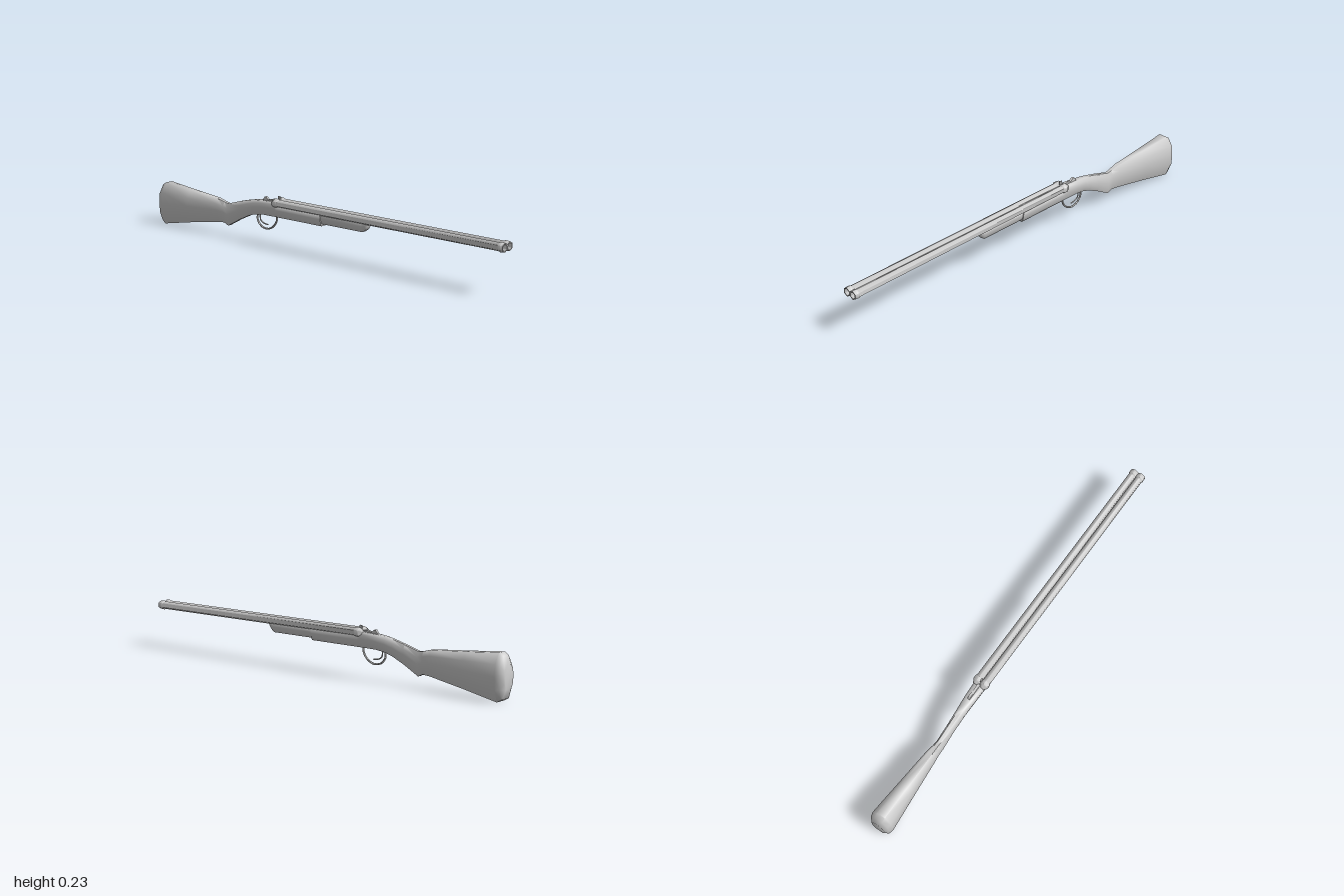
import * as THREE from 'three';
import { toCreasedNormals } from 'three/addons/utils/BufferGeometryUtils.js';

const CREASE = 1.1;

export function createModel() {
  const model = new THREE.Group();
  const material = new THREE.MeshStandardMaterial({ color: 0xcccccc, side: THREE.DoubleSide });

  function add(name, geometry) {
    const mesh = new THREE.Mesh(toCreasedNormals(geometry, CREASE), material);
    mesh.name = name;
    model.add(mesh);
    return mesh;
  }

  // Half outlines from bottom to top: [share of half width, share of height]
  const foreProfile = [[0.55, 0], [0.8, 0.25], [0.95, 0.6], [1, 0.9], [0.8, 1]];
  const stockProfile = [[0.57, 0], [0.95, 0.25], [1, 0.52], [0.92, 0.78], [0.4, 1]];

  // Lofts stations [z, bottom, top, half width, blend from fore to stock profile]
  function loft(stations) {
    const n = 10, pos = [], index = [];
    for (const [z, bottom, top, half, k] of stations) {
      for (let j = 0; j < n; j++) {
        const i = j < 5 ? j : 9 - j;
        const u = THREE.MathUtils.lerp(foreProfile[i][0], stockProfile[i][0], k);
        const v = THREE.MathUtils.lerp(foreProfile[i][1], stockProfile[i][1], k);
        pos.push((j < 5 ? 1 : -1) * u * half, bottom + v * (top - bottom), z);
      }
    }
    const last = (stations.length - 1) * n;
    for (let s = 0; s < last; s += n) {
      for (let j = 0; j < n; j++) {
        const a = s + j, b = s + (j + 1) % n;
        index.push(a, a + n, b, b, a + n, b + n);
      }
    }
    for (let j = 1; j < n - 1; j++) {
      index.push(0, j, j + 1, last, last + j + 1, last + j);
    }
    const g = new THREE.BufferGeometry();
    g.setAttribute('position', new THREE.Float32BufferAttribute(pos, 3));
    g.setIndex(index);
    return g;
  }

  // Hexagonal barrels with breech collar, muzzle band and open bore: [radius, z]
  const barrelProfile = [
    [0, -0.262], [0.012, -0.26], [0.019, -0.25], [0.0225, -0.245], [0.0225, -0.228], [0.0185, -0.222],
    [0.0185, 0.974], [0.0218, 0.977], [0.0218, 0.989], [0.0205, 0.991], [0.0205, 1],
    [0.0155, 1], [0.0145, 0.92], [0, 0.92],
  ].map(([r, z]) => new THREE.Vector2(r, z));
  for (const side of [1, -1]) {
    const g = new THREE.LatheGeometry(barrelProfile, 6).rotateX(Math.PI / 2);
    const barrel = add(side > 0 ? 'leftBarrel' : 'rightBarrel', g);
    barrel.position.set(side * 0.018, 0.2075, 0);
  }

  // Forend under the barrels
  add('forend', loft([
    [0.29, 0.184, 0.196, 0.018, 0],
    [0.278, 0.165, 0.196, 0.022, 0],
    [0.26, 0.152, 0.196, 0.024, 0],
    [0.02, 0.152, 0.196, 0.025, 0],
  ]));

  // Receiver, wrist and butt in one piece
  add('stock', loft([
    [0.03, 0.142, 0.196, 0.028, 0],
    [-0.235, 0.142, 0.198, 0.028, 0],
    [-0.25, 0.142, 0.211, 0.028, 0.2],
    [-0.33, 0.141, 0.207, 0.025, 0.5],
    [-0.38, 0.134, 0.202, 0.022, 0.8],
    [-0.42, 0.121, 0.195, 0.02, 1],
    [-0.48, 0.093, 0.18, 0.018, 1],
    [-0.555, 0.052, 0.158, 0.018, 1],
    [-0.58, 0.064, 0.163, 0.02, 1],
    [-0.62, 0.061, 0.174, 0.025, 1],
    [-0.8, 0.032, 0.189, 0.039, 1],
    [-0.965, 0.002, 0.205, 0.052, 1],
    [-0.985, 0.014, 0.192, 0.048, 1],
    [-1, 0.055, 0.155, 0.034, 1],
  ]));

  // Bent wire parts given as [z, y] points
  function wire(name, points, radius) {
    const curve = new THREE.CatmullRomCurve3(points.map(([z, y]) => new THREE.Vector3(0, y, z)));
    add(name, new THREE.TubeGeometry(curve, 20, radius, 6));
  }
  wire('triggerGuard', [
    [-0.25, 0.145], [-0.254, 0.118], [-0.275, 0.09], [-0.31, 0.074],
    [-0.35, 0.082], [-0.373, 0.11], [-0.37, 0.142],
  ], 0.0045);
  wire('trigger', [[-0.358, 0.142], [-0.353, 0.11], [-0.335, 0.098], [-0.308, 0.094]], 0.003);

  // Top lever behind the breech
  const lever = new THREE.Shape([
    [0.25, 0.2], [0.255, 0.217], [0.275, 0.22], [0.3, 0.213], [0.312, 0.224],
    [0.322, 0.225], [0.332, 0.212], [0.335, 0.2],
  ].map(([z, y]) => new THREE.Vector2(z, y)));
  const leverGeometry = new THREE.ExtrudeGeometry(lever, { depth: 0.012, bevelEnabled: false });
  leverGeometry.translate(0, 0, -0.006).rotateY(Math.PI / 2);
  add('topLever', leverGeometry);

  // Slim sight above the breech collar
  const sight = new THREE.BoxGeometry(0.005, 0.022, 0.014);
  sight.translate(0, 0.226, -0.237);
  add('rearSight', sight);

  return model;
}
